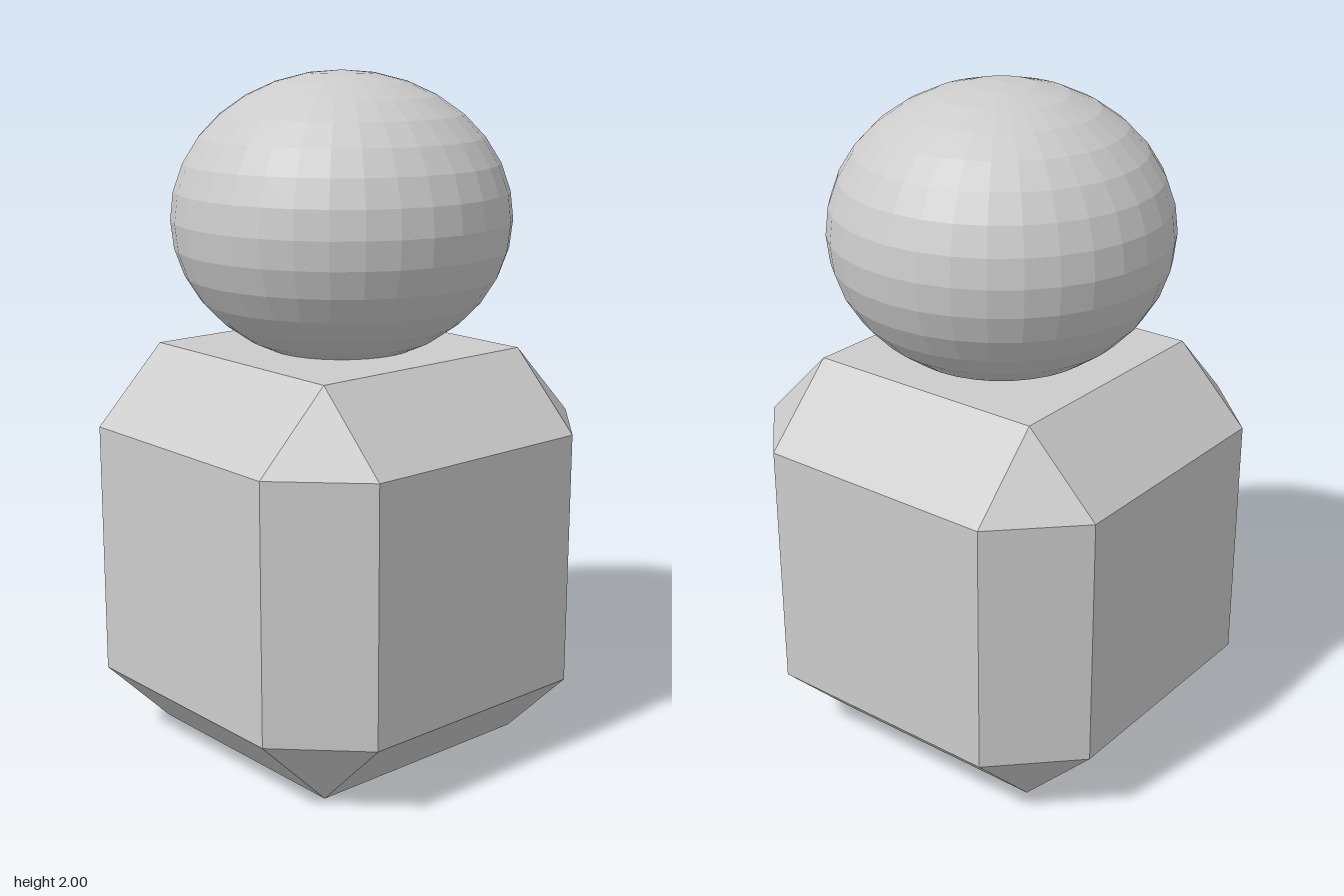
import * as THREE from 'three';
import { ConvexGeometry } from 'three/addons/geometries/ConvexGeometry.js';

const material = new THREE.MeshStandardMaterial({ color: 0xcccccc, flatShading: true });

// Cube with flat chamfers: each corner becomes a small triangle.
function chamferedCube(outer, inner) {
  const points = [];
  for (const sx of [-1, 1]) for (const sy of [-1, 1]) for (const sz of [-1, 1]) {
    points.push(
      new THREE.Vector3(sx * outer, sy * inner, sz * inner),
      new THREE.Vector3(sx * inner, sy * outer, sz * inner),
      new THREE.Vector3(sx * inner, sy * inner, sz * outer),
    );
  }
  return new ConvexGeometry(points);
}

export function createModel() {
  const group = new THREE.Group();

  // Body block resting on the ground
  const body = new THREE.Mesh(chamferedCube(0.598, 0.376), material);
  body.name = 'body';
  body.position.set(0, 0.6, 0);
  body.scale.y = 0.6 / 0.598;
  group.add(body);

  // Faceted, slightly flattened head sunk a little into the body
  const head = new THREE.Mesh(new THREE.SphereGeometry(1, 32, 16), material);
  head.name = 'head';
  head.scale.set(0.498, 0.423, 0.498);
  head.position.set(0.016, 1.577, 0);
  group.add(head);

  return group;
}
